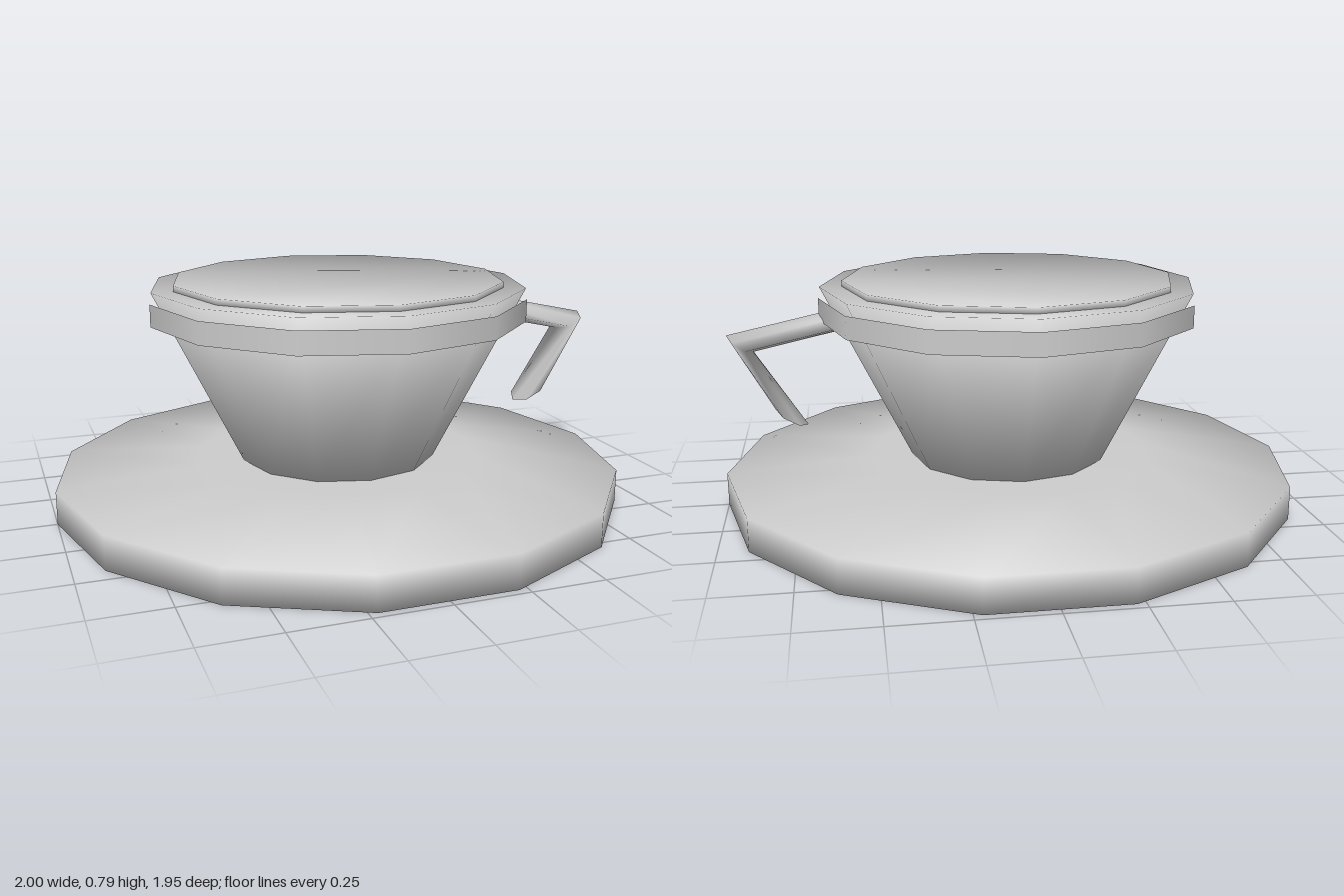
import * as THREE from 'three';

const porcelain = new THREE.MeshStandardMaterial({ color: 0xcccccc });
porcelain.name = 'porcelain grey';

// Skin a list of equal-sized rings, with optional flat ends
function loft(rings, capStart, capEnd) {
  const n = rings[0].length;
  const index = [];
  for (let i = 0; i < rings.length - 1; i++) {
    for (let j = 0; j < n; j++) {
      const k = (j + 1) % n;
      const a = i * n + j, b = i * n + k, c = b + n, d = a + n;
      index.push(a, b, c, a, c, d);
    }
  }
  const last = (rings.length - 1) * n;
  for (let j = 1; j < n - 1; j++) {
    if (capStart) index.push(0, j + 1, j);
    if (capEnd) index.push(last, last + j, last + j + 1);
  }
  const geometry = new THREE.BufferGeometry().setFromPoints(rings.flat());
  geometry.setIndex(index);
  geometry.computeVertexNormals();
  return geometry;
}

// Turned part from a [radius, height] profile, bottom to top, softly shaded over its edges
function turned(profile, sides, capped) {
  const ring = (r, y) => Array.from({ length: sides }, (_, j) => {
    const a = (j / sides) * Math.PI * 2;
    return new THREE.Vector3(r * Math.cos(a), y, -r * Math.sin(a));
  });
  const geometry = loft(profile.map(([r, y]) => ring(r, y)), capped, capped);

  // One outward direction per profile segment, averaged where segments meet
  const slopes = [];
  for (let i = 0; i < profile.length - 1; i++) {
    const [r0, y0] = profile[i], [r1, y1] = profile[i + 1];
    slopes.push(new THREE.Vector2(y1 - y0, r0 - r1).normalize());
  }
  const first = capped ? new THREE.Vector2(0, -1) : slopes[0];
  const end = capped ? new THREE.Vector2(0, 1) : slopes[slopes.length - 1];
  const all = [first, ...slopes, end];
  const normals = profile.flatMap((_, i) => {
    const m = all[i].clone().add(all[i + 1]).normalize();
    return ring(m.x, m.y);
  });
  normals.forEach((v, i) => geometry.attributes.normal.setXYZ(i, v.x, v.y, v.z));
  return geometry;
}

// Bent handle: each station gives the outer and inner point of a six-sided section
function handleGeometry() {
  const stations = [
    [0.56, 0.70, 0.56, 0.622],
    [0.973, 0.61, 0.885, 0.55],
    [0.82, 0.34, 0.71, 0.282],
  ];
  const rings = stations.map(([ox, oy, ix, iy]) => Array.from({ length: 6 }, (_, j) => {
    const a = (j / 6) * Math.PI * 2;
    const t = Math.cos(a) / 2;
    return new THREE.Vector3(
      (ox + ix) / 2 + (ox - ix) * t,
      (oy + iy) / 2 + (oy - iy) * t,
      0.005 + 0.072 * Math.sin(a),
    );
  }));
  return loft(rings, true, true);
}

export function createModel() {
  const model = new THREE.Group();
  model.name = 'cupAndSaucer';
  const add = (name, geometry) => {
    const mesh = new THREE.Mesh(geometry, porcelain);
    mesh.name = name;
    model.add(mesh);
  };

  add('saucer', turned([[1, 0], [1, 0.115], [0.5, 0.155]], 14, true));
  add('cupBody', turned([[0.345, 0.15], [0.653, 0.77]], 12, true));
  // Open sleeve standing slightly away from the cup wall
  add('rimBand', turned([[0.658, 0.655], [0.658, 0.732]], 12, false));
  add('drinkSurface', turned([[0.577, 0.765], [0.577, 0.79]], 12, true));
  add('handle', handleGeometry());
  return model;
}
